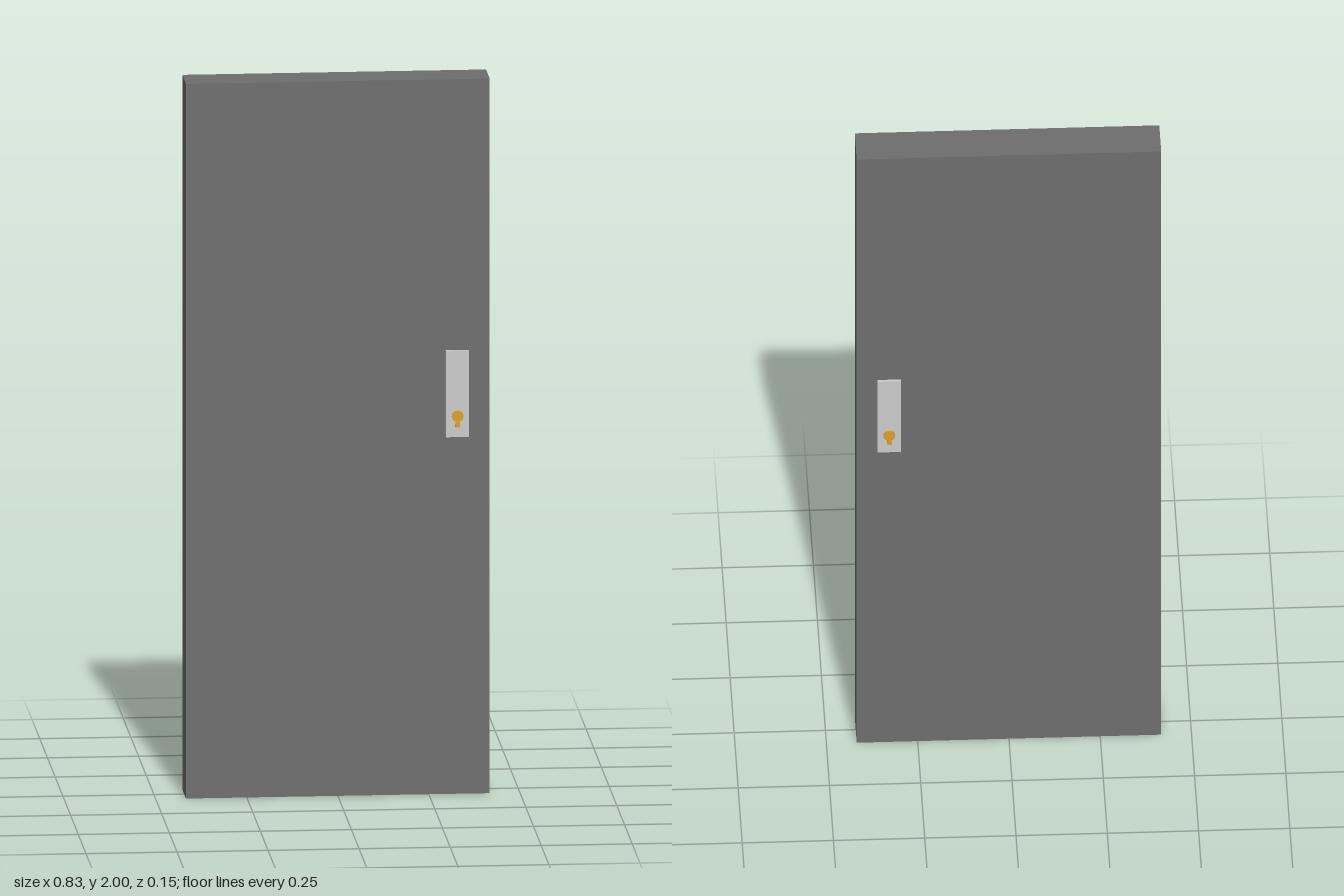
import * as THREE from 'three';

const material = (color) => new THREE.MeshStandardMaterial({ color });

function addMesh(parent, name, geometry, mat, x, y, z) {
  const mesh = new THREE.Mesh(geometry, mat);
  mesh.name = name;
  mesh.position.set(x, y, z);
  parent.add(mesh);
  return mesh;
}

// Keyhole outline: round head with a flared slot below
function keyholeShape() {
  const r = 0.016;
  const a = 0.35;
  const shape = new THREE.Shape();
  shape.moveTo(-0.007, -0.031);
  shape.lineTo(0.007, -0.031);
  shape.lineTo(r * Math.sin(a), -r * Math.cos(a));
  shape.absarc(0, 0, r, -Math.PI / 2 + a, Math.PI * 1.5 - a, false);
  shape.closePath();
  return shape;
}

export function createModel() {
  const door = new THREE.Group();
  door.name = 'door';
  const slabMaterial = material(0x6e6e6e);
  const plateMaterial = material(0xcccccc);
  const brassMaterial = material(0xdca02c);

  // Door slab
  addMesh(door, 'slab', new THREE.BoxGeometry(0.834, 2, 0.119), slabMaterial, 0, 1, 0);

  // Matching lock plate and keyhole on both faces
  const plateGeometry = new THREE.BoxGeometry(0.064, 0.242, 0.012);
  const keyholeGeometry = new THREE.ExtrudeGeometry(keyholeShape(), {
    depth: 0.008, bevelEnabled: false, curveSegments: 20,
  });
  for (const [side, facing] of [['front', 1], ['back', -1]]) {
    const lock = new THREE.Group();
    lock.name = side + 'Lock';
    lock.position.x = 0.328;
    lock.rotation.y = facing > 0 ? 0 : Math.PI;
    addMesh(lock, side + 'LockPlate', plateGeometry, plateMaterial, 0, 1.121, 0.0625);
    addMesh(lock, side + 'Keyhole', keyholeGeometry, brassMaterial, 0, 1.059, 0.0655);
    door.add(lock);
  }
  return door;
}
